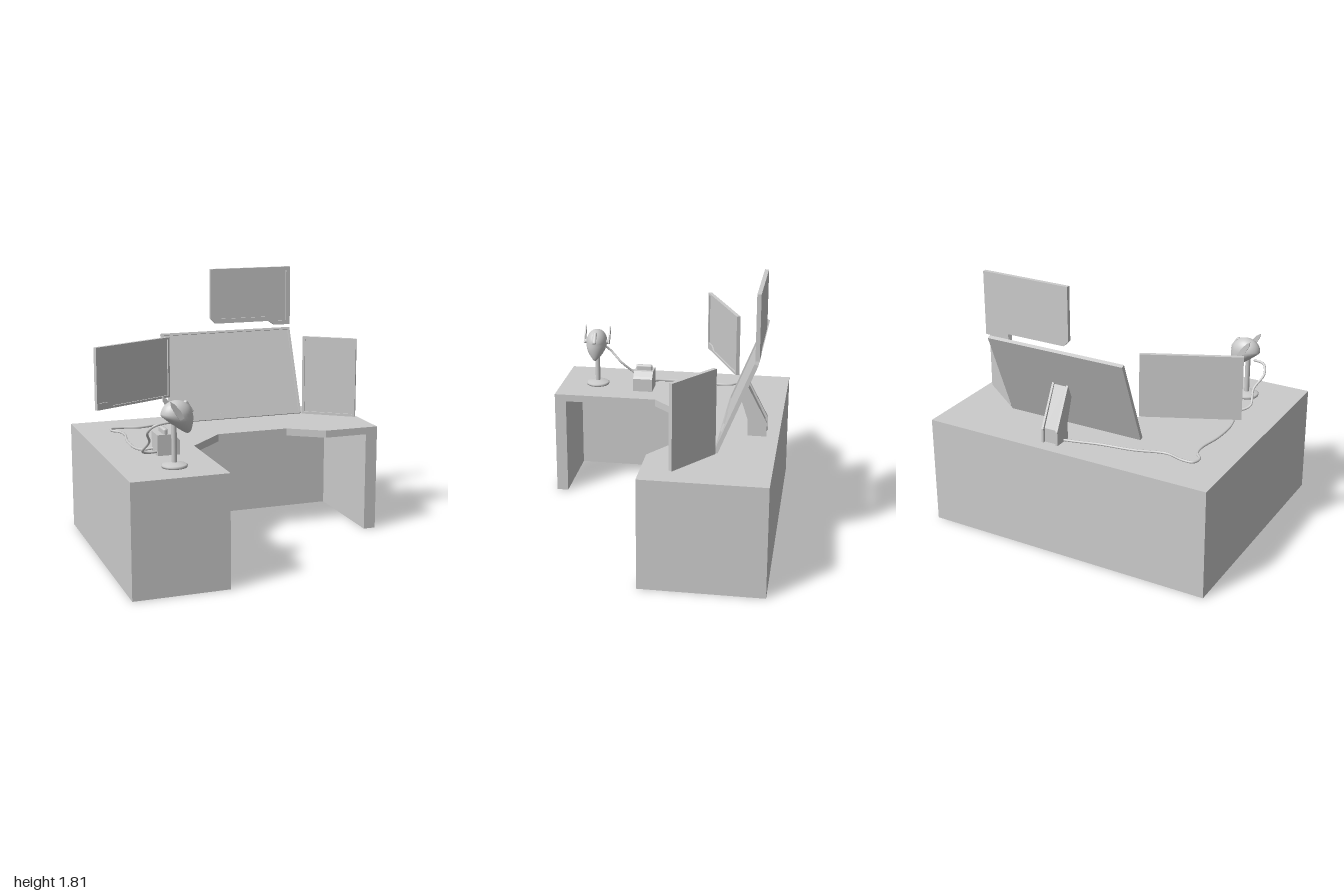
import * as THREE from 'three';
import { RoundedBoxGeometry } from 'three/addons/geometries/RoundedBoxGeometry.js';

const mat = new THREE.MeshStandardMaterial({ color: 0xcccccc });
const thinMat = new THREE.MeshStandardMaterial({ color: 0xcccccc, side: THREE.DoubleSide });

const toPath = (pts, P = THREE.Shape) => new P(pts.map(([x, y]) => new THREE.Vector2(x, y)));

function extrude(pts, depth, hole) {
  const shape = toPath(pts);
  if (hole) shape.holes.push(toPath(hole, THREE.Path));
  return new THREE.ExtrudeGeometry(shape, { depth, bevelEnabled: false });
}

function add(parent, name, geometry, x = 0, y = 0, z = 0, material = mat) {
  const mesh = new THREE.Mesh(geometry, material);
  mesh.name = name;
  mesh.position.set(x, y, z);
  parent.add(mesh);
  return mesh;
}

// floor-plan outline given as [x, z], raised along y
const plan = (pts, height) =>
  extrude(pts.map(([x, z]) => [x, -z]), height).rotateX(-Math.PI / 2);

// side outline given as [z, y], extruded along x
const sideProfile = (pts, width) =>
  extrude(pts.map(([z, y]) => [-z, y]), width).rotateY(Math.PI / 2);

const rect = (w, h) => [[-w / 2, -h / 2], [w / 2, -h / 2], [w / 2, h / 2], [-w / 2, h / 2]];

// flat monitor whose front face lies at local z = 0, with a recessed screen
function monitor(parent, name, outline, opening) {
  const g = new THREE.Group();
  g.name = name;
  add(g, 'bezel', extrude(outline, 0.01, opening), 0, 0, -0.01);
  add(g, 'screenBody', extrude(outline, 0.016), 0, 0, -0.026);
  parent.add(g);
  return g;
}

function cable(parent, name, pts) {
  const curve = new THREE.CatmullRomCurve3(pts.map(p => new THREE.Vector3(...p)));
  add(parent, name, new THREE.TubeGeometry(curve, 90, 0.008, 8));
}

// rule turning a unit sphere into a head shape with the chin pushed forward (+x)
function headShape(geometry, grow = 1) {
  const p = geometry.attributes.position;
  for (let i = 0; i < p.count; i++) {
    const u = p.getX(i) * grow, v = p.getY(i) * grow, w = p.getZ(i) * grow;
    const t = Math.max(0, -v);
    p.setXYZ(i,
      u * 0.1 * (1 - 0.55 * t) + 0.07 * t,
      v * (v > 0 ? 0.092 : 0.118),
      w * 0.074 * (1 - 0.4 * t * t));
  }
  geometry.computeVertexNormals();
  return geometry;
}

function buildDesk(root) {
  const desk = new THREE.Group();
  desk.name = 'desk';
  root.add(desk);
  add(desk, 'deskTop', plan([
    [-1, -0.815], [1, -0.815], [1, -0.01], [0.61, -0.01], [0.38, -0.165],
    [-0.12, -0.165], [-0.375, 0.09], [-0.375, 0.815], [-1, 0.815],
  ], 0.05), 0, 0.69, 0);
  // back, side and end panels in one continuous wall
  add(desk, 'deskPanels', plan([
    [-0.375, 0.815], [-1, 0.815], [-1, -0.815], [1, -0.815], [1, -0.01],
    [0.915, -0.01], [0.915, -0.735], [-0.915, -0.735], [-0.915, 0.735], [-0.375, 0.735],
  ], 0.69));
}

function buildMonitors(root) {
  const main = monitor(root, 'mainMonitor', rect(0.97, 0.637), [
    [-0.47, -0.303], [-0.16, -0.303], [-0.105, -0.268], [0.11, -0.268], [0.165, -0.303],
    [0.47, -0.303], [0.47, 0.303], [-0.47, 0.303],
  ]);
  main.position.set(0.115, 1.075, -0.555);
  main.rotation.x = -0.386;

  const right = monitor(root, 'sideMonitorRight', rect(0.635, 0.42), [
    [-0.303, -0.165], [-0.23, -0.165], [-0.19, -0.195], [0.303, -0.195],
    [0.303, 0.195], [-0.303, 0.195],
  ]);
  right.position.set(-0.657, 1.165, -0.343);
  right.rotation.y = 0.428;

  const left = monitor(root, 'sideMonitorLeft', rect(0.386, 0.56), rect(0.35, 0.525));
  left.position.set(0.757, 1.055, -0.313);
  left.rotation.y = -0.637;

  const upper = monitor(root, 'upperMonitor', [
    [0, 1.455], [0.035, 1.42], [0.44, 1.42], [0.485, 1.39], [0.605, 1.39], [0.605, 1.808], [0, 1.808],
  ], [
    [0.017, 1.485], [0.05, 1.452], [0.44, 1.452], [0.49, 1.42], [0.575, 1.42], [0.575, 1.782], [0.017, 1.782],
  ]);
  upper.position.z = -0.68;

  // stand with two side flanges around a slightly inset web
  const stand = new THREE.Group();
  stand.name = 'monitorStand';
  root.add(stand);
  const outline = inset => [
    [-0.55, 1.03], [-0.61, 0.85], [-0.61, 0.74], [-0.735 + inset, 0.74],
    [-0.735 + inset, 0.835], [-0.585, 1.12 - inset],
  ];
  add(stand, 'standWeb', sideProfile(outline(0.018), 0.09), 0.09);
  for (const x of [0.076, 0.18]) add(stand, 'standFlange', sideProfile(outline(0), 0.014), x);
}

function buildHeadsetStand(root) {
  const g = new THREE.Group();
  g.name = 'helmetStand';
  g.position.set(-0.64, 0, 0.555);
  root.add(g);

  // round foot and pole
  const foot = [[0, 0.74], [0.08, 0.74], [0.083, 0.752], [0.075, 0.758], [0.045, 0.765], [0.018, 0.77], [0, 0.77]];
  add(g, 'foot', new THREE.LatheGeometry(foot.map(p => new THREE.Vector2(...p)), 32), -0.01);
  add(g, 'pole', new THREE.CylinderGeometry(0.017, 0.017, 0.28, 20), -0.01, 0.9);

  // head, face plate and brow ridge
  add(g, 'helmet', headShape(new THREE.SphereGeometry(1, 32, 24)), 0.008, 1.064);
  add(g, 'facePlate', headShape(
    new THREE.SphereGeometry(1, 16, 16, Math.PI - 0.8, 1.6, 1.45, Math.PI - 1.5), 1.03),
  0.008, 1.064, 0, thinMat);
  const ridge = add(g, 'browRidge', new RoundedBoxGeometry(0.03, 0.09, 0.03, 3, 0.012), 0.082, 1.11, 0);
  ridge.rotation.z = 0.55;

  // ear hubs with swept blades
  const blade = [[-0.018, -0.015], [0.012, -0.02], [0.018, 0.03], [0.012, 0.09], [0, 0.118], [-0.014, 0.09], [-0.02, 0.03]];
  for (const s of [-1, 1]) {
    const hub = add(g, 'earHub', new THREE.CylinderGeometry(0.014, 0.02, 0.035, 16), 0.012, 1.068, s * 0.072);
    hub.rotation.x = s * Math.PI / 2;
    const ear = add(g, 'earBlade', extrude(blade, 0.009), 0.01, 1.07, s * 0.088 - 0.0045);
    ear.rotation.z = 0.6;
  }
}

function buildDock(root) {
  const g = new THREE.Group();
  g.name = 'dock';
  root.add(g);
  add(g, 'dockBody', extrude([
    [-0.675, 0.74], [-0.527, 0.74], [-0.527, 0.832], [-0.54, 0.846], [-0.575, 0.876], [-0.675, 0.876],
  ], 0.137), 0, 0, 0.137);
  add(g, 'dockInsert', new RoundedBoxGeometry(0.032, 0.07, 0.118, 3, 0.013), -0.618, 0.878, 0.207);
}

export function createModel() {
  const root = new THREE.Group();
  root.name = 'workstation';
  buildDesk(root);
  buildMonitors(root);
  buildHeadsetStand(root);
  buildDock(root);

  cable(root, 'helmetCable', [
    [-0.7, 1.015, 0.54], [-0.77, 1.0, 0.54], [-0.8, 0.95, 0.49], [-0.765, 0.87, 0.4],
    [-0.785, 0.79, 0.31], [-0.74, 0.766, 0.265], [-0.67, 0.764, 0.25],
  ]);
  const y = 0.75;
  cable(root, 'dockCable', [
    [-0.67, 0.764, 0.155], [-0.74, 0.755, 0.13], [-0.765, y, 0.05], [-0.765, y, -0.15], [-0.735, y, -0.32],
    [-0.745, y, -0.41], [-0.79, y, -0.47], [-0.775, y, -0.53], [-0.7, y, -0.535], [-0.58, y, -0.505],
    [-0.375, y, -0.565], [-0.15, y, -0.6], [0, y, -0.64], [0.09, y, -0.66],
  ]);
  return root;
}
